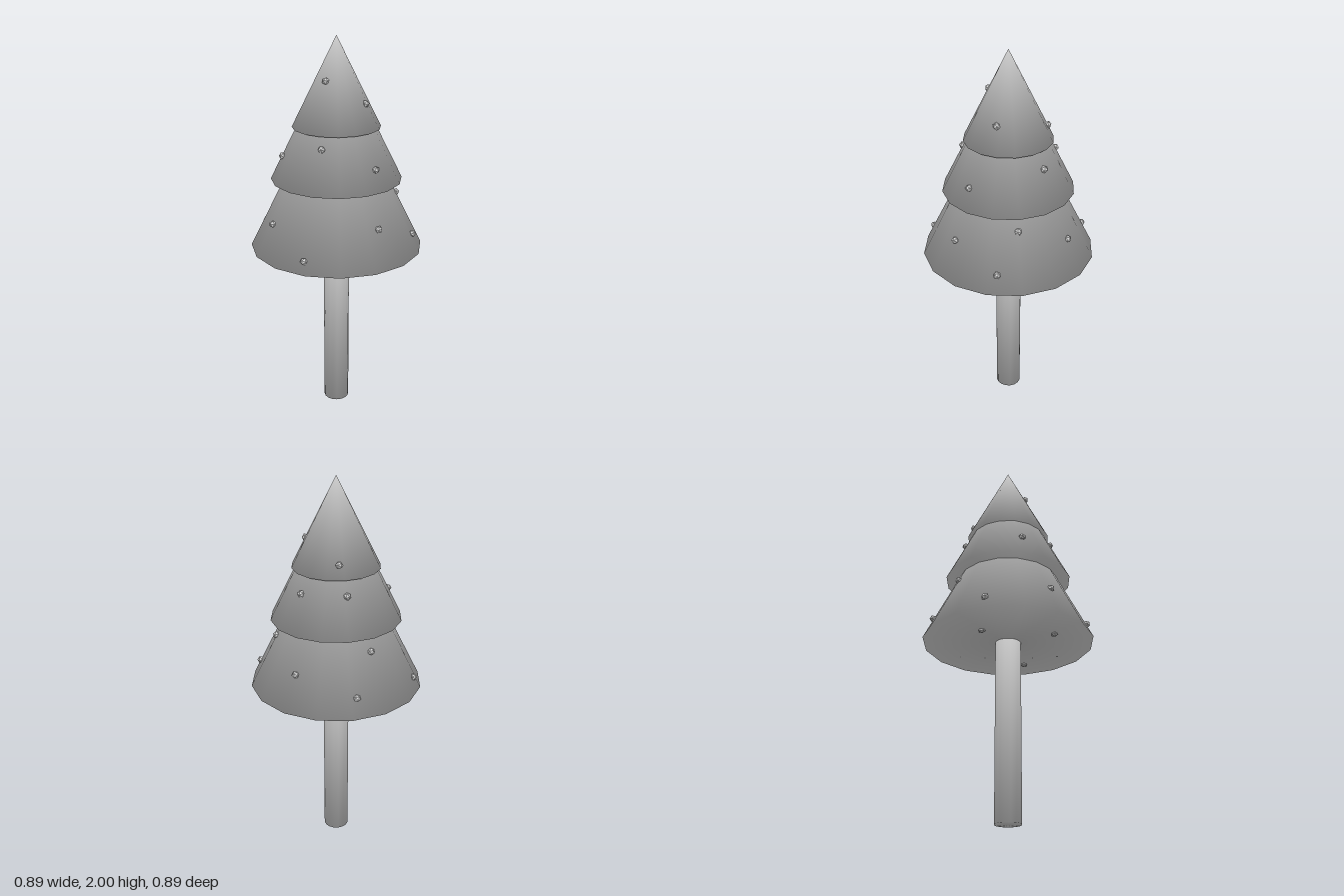
import * as THREE from 'three';

const SIDES = 16;

// Rim normals lean past the edge so sides and caps shade as one soft surface
function softenNormals(geometry, halfHeight, pointedTop) {
  const pos = geometry.attributes.position;
  const nor = geometry.attributes.normal;
  for (let i = 0; i < pos.count; i++) {
    const x = pos.getX(i), y = pos.getY(i), z = pos.getZ(i);
    const r = Math.hypot(x, z);
    const up = y > 0 ? 1 : -1;
    if (r < 1e-5) nor.setXYZ(i, 0, up, 0);
    else {
      const tilt = pointedTop ? 0.58 : 0.6;
      const out = Math.sqrt(1 - tilt * tilt);
      nor.setXYZ(i, out * x / r, up * tilt, out * z / r);
    }
  }
  return geometry;
}

export function createModel() {
  const group = new THREE.Group();
  const smooth = new THREE.MeshStandardMaterial({ color: 0xcccccc });
  const faceted = new THREE.MeshStandardMaterial({ color: 0xcccccc, flatShading: true });

  const add = (name, geometry, material, x, y, z) => {
    const mesh = new THREE.Mesh(geometry, material);
    mesh.name = name;
    mesh.position.set(x, y, z);
    group.add(mesh);
    return mesh;
  };

  // Trunk, running up into the lowest tier
  const trunkHeight = 1.11;
  add('trunk', softenNormals(new THREE.CylinderGeometry(0.067, 0.067, trunkHeight, SIDES), trunkHeight / 2, false),
    smooth, 0, trunkHeight / 2, 0);

  // Foliage tiers, each with the x, z spots of the ornaments on its slope
  const tiers = [
    { name: 'lowerFoliage', y: 0.93, r: 0.444, spots: [
      [-0.03, -0.396], [0.246, -0.258], [-0.368, -0.181], [-0.324, 0.155], [0.191, 0.294],
      [0.382, 0.115], [-0.174, 0.375], [0.305, 0], [-0.12, -0.28]] },
    { name: 'middleFoliage', y: 1.29, r: 0.333, spots: [
      [-0.01, -0.236], [0.196, -0.14], [-0.27, 0.024], [-0.081, 0.215], [0.179, 0.217]] },
    { name: 'upperFoliage', y: 1.556, r: 0.222, spots: [
      [0.02, -0.188], [0.138, 0.077], [-0.055, 0.086]] },
  ];

  const ornamentShape = new THREE.IcosahedronGeometry(0.019, 0);
  let count = 0;
  const addOrnament = (x, y, z) => {
    count++;
    add('ornament' + count, ornamentShape, faceted, x, y, z)
      .rotation.set(count * 1.3, count * 2.1, count * 0.7);
  };

  for (const { name, y, r, spots } of tiers) {
    const height = r * 2;
    add(name, softenNormals(new THREE.ConeGeometry(r, height, SIDES), height / 2, true),
      smooth, 0, y + height / 2, 0);
    for (const [x, z] of spots) addOrnament(x, y + height - 2 * Math.hypot(x, z), z);
  }

  // Ornaments hanging under the lowest tier
  for (const [x, z] of [[0.26, 0.137], [-0.14, -0.16], [-0.165, 0.207]]) addOrnament(x, 0.93, z);

  return group;
}
